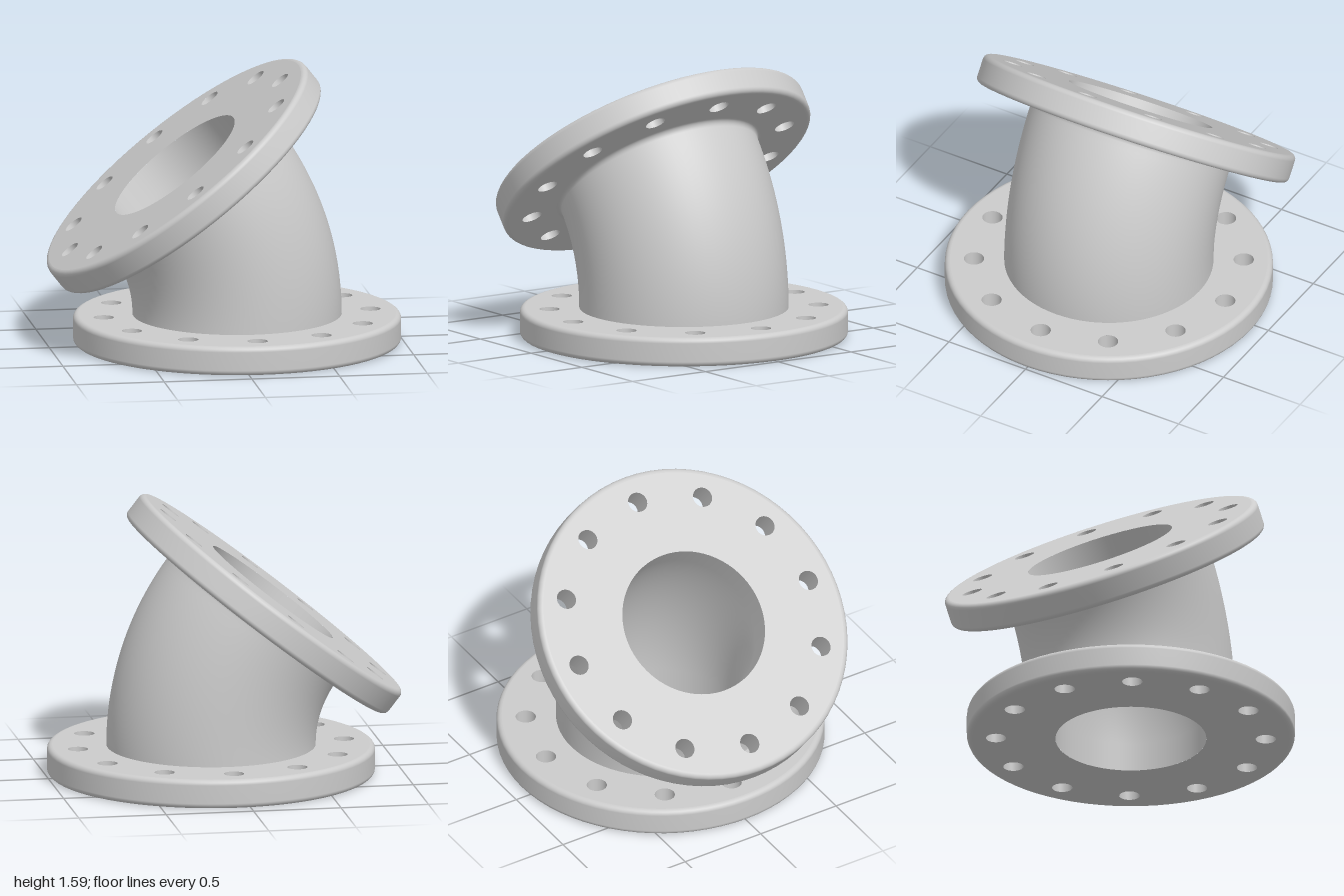
import * as THREE from 'three';

const SEG = 72;
const FLANGE_R = 0.925, THICK = 0.165, EDGE = 0.03;
const PIPE_R = 0.59, BORE_R = 0.425, FILLET = 0.025;
const BOLT_CIRCLE = 0.76, BOLT_R = 0.057, BOLTS = 12;
const BEND_R = 1.193, ANGLE = THREE.MathUtils.degToRad(38);
const LENGTH = BEND_R * ANGLE, BASE_X = 0.07;

// Bends a straight upright fitting: straight, then an arc toward -x, then straight
function bend(geometry) {
  const p = geometry.attributes.position, n = geometry.attributes.normal;
  for (let i = 0; i < p.count; i++) {
    const x = p.getX(i), s = p.getY(i) - THICK;
    const along = THREE.MathUtils.clamp(s, 0, LENGTH);
    const a = along / BEND_R, extra = s - along;
    const c = Math.cos(a), d = Math.sin(a);
    p.setXY(i, BASE_X - BEND_R + (BEND_R + x) * c - extra * d, THICK + (BEND_R + x) * d + extra * c);
    const nx = n.getX(i), ny = n.getY(i);
    n.setXY(i, nx * c - ny * d, nx * d + ny * c);
  }
  return geometry;
}

// Points of a quarter-circle round
function arc(cx, cy, r, from, to, steps = 6) {
  return Array.from({ length: steps + 1 }, (_, i) => {
    const a = from + (to - from) * i / steps;
    return new THREE.Vector2(cx + r * Math.cos(a), cy + r * Math.sin(a));
  });
}

// Points of a straight wall
function wall(r, y0, y1, steps) {
  return Array.from({ length: steps + 1 }, (_, i) => new THREE.Vector2(r, y0 + (y1 - y0) * i / steps));
}

export function createModel() {
  const model = new THREE.Group();
  model.name = 'angledFlangedElbow';
  const material = new THREE.MeshStandardMaterial({ color: 0xcccccc });
  const add = (parent, name, geometry) => {
    const mesh = new THREE.Mesh(bend(geometry), material);
    mesh.name = name;
    parent.add(mesh);
  };

  // Flange face outline with the bore and the bolt holes
  const boltPositions = Array.from({ length: BOLTS }, (_, i) => {
    const a = i * Math.PI * 2 / BOLTS;
    return [BOLT_CIRCLE * Math.cos(a), BOLT_CIRCLE * Math.sin(a)];
  });
  const face = new THREE.Shape().absarc(0, 0, FLANGE_R - EDGE, 0, Math.PI * 2, false);
  for (const [x, z, r] of [[0, 0, BORE_R], ...boltPositions.map(b => [...b, BOLT_R])]) {
    face.holes.push(new THREE.Path().absarc(x, z, r, 0, Math.PI * 2, true));
  }

  // Two equal flanges, one at each end of the pipe
  for (const [name, y] of [['baseFlange', 0], ['tiltedFlange', THICK + LENGTH]]) {
    const flange = new THREE.Group();
    flange.name = name;
    model.add(flange);
    const rim = [
      ...arc(FLANGE_R - EDGE, EDGE, EDGE, -Math.PI / 2, 0),
      ...arc(FLANGE_R - EDGE, THICK - EDGE, EDGE, 0, Math.PI / 2),
    ];
    add(flange, name + 'Rim', new THREE.LatheGeometry(rim, SEG).translate(0, y, 0));
    add(flange, name + 'UpperFace',
      new THREE.ShapeGeometry(face, SEG).rotateX(-Math.PI / 2).translate(0, y + THICK, 0));
    add(flange, name + 'LowerFace',
      new THREE.ShapeGeometry(face, SEG).rotateX(Math.PI / 2).translate(0, y, 0));
    for (const [x, z] of boltPositions) {
      add(flange, name + 'BoltHole',
        new THREE.LatheGeometry(wall(BOLT_R, THICK, 0, 1), SEG).translate(x, y, z));
    }
  }

  // Curved pipe wall with a small fillet under the tilted flange
  const end = THICK + LENGTH;
  const outer = [
    ...wall(PIPE_R, THICK, end - FILLET, 32),
    ...arc(PIPE_R + FILLET, end - FILLET, FILLET, Math.PI, Math.PI / 2).slice(1),
  ];
  add(model, 'pipe', new THREE.LatheGeometry(outer, SEG));

  // Bore running through both flanges
  const bore = [
    new THREE.Vector2(BORE_R, end + THICK),
    ...wall(BORE_R, end, THICK, 32),
    new THREE.Vector2(BORE_R, 0),
  ];
  add(model, 'bore', new THREE.LatheGeometry(bore, SEG));

  return model;
}
